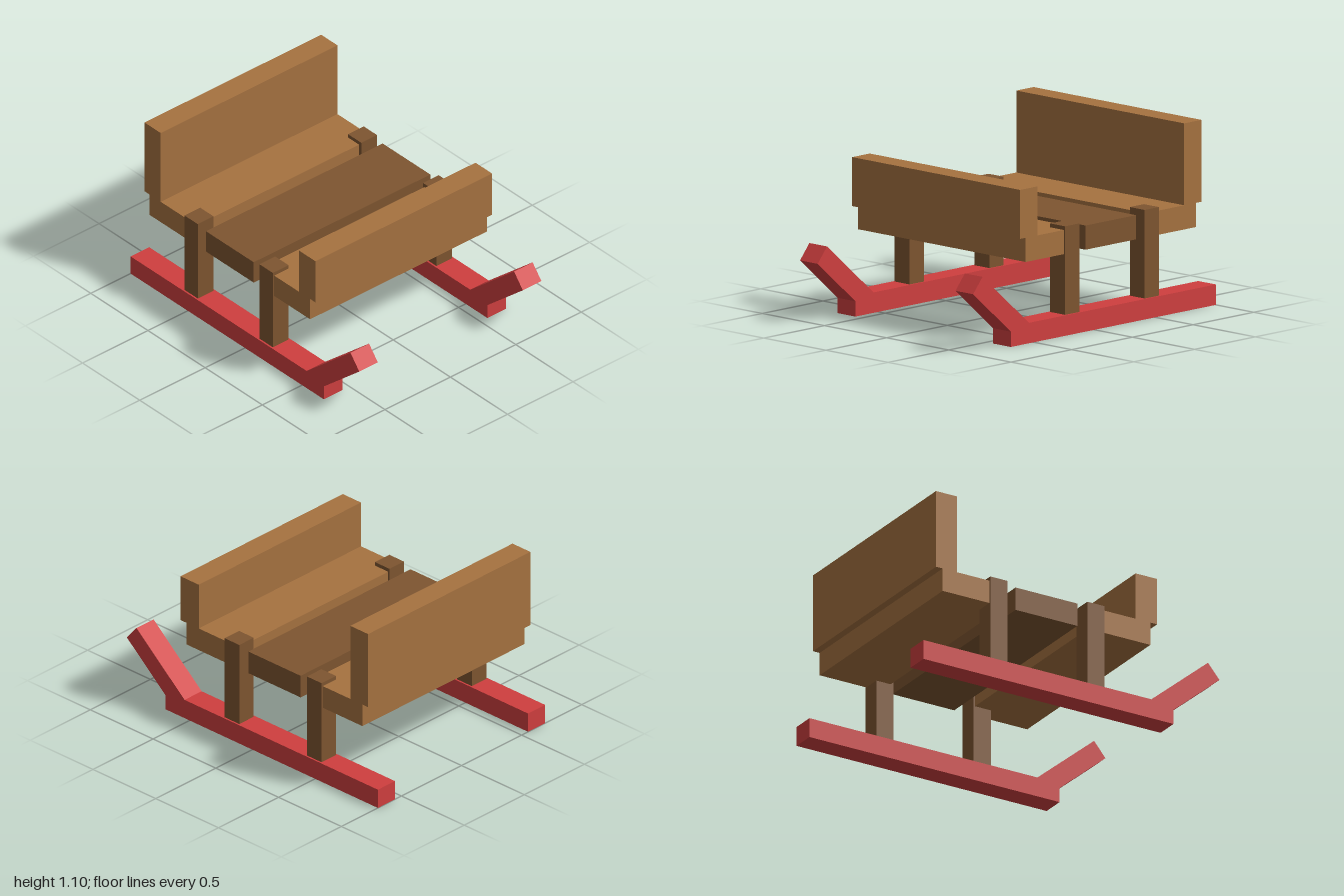
import * as THREE from 'three';

const paint = (color) => new THREE.MeshStandardMaterial({ color, flatShading: true });

// Extrude a side profile of [z, y] points across x, centred on x = 0
function sideProfile(points, width) {
  const shape = new THREE.Shape(points.map(([z, y]) => new THREE.Vector2(z, y)));
  const geometry = new THREE.ExtrudeGeometry(shape, { depth: width, bevelEnabled: false });
  return geometry.translate(0, 0, -width / 2).rotateY(-Math.PI / 2);
}

export function createModel() {
  const model = new THREE.Group();
  model.name = 'sled';
  const red = paint(0xcf3f3f);
  const lightWood = paint(0xa67240);
  const darkWood = paint(0x7e5530);

  const add = (name, geometry, material, x = 0, y = 0, z = 0) => {
    const mesh = new THREE.Mesh(geometry, material);
    mesh.name = name;
    mesh.position.set(x, y, z);
    model.add(mesh);
  };

  // Runners with upturned front tips, and the posts standing on them
  const runner = sideProfile([
    [-1, 0], [0.69, 0], [0.69, 0.09], [1, 0.355], [0.923, 0.446], [0.54, 0.12], [-1, 0.12],
  ], 0.142);
  const post = new THREE.BoxGeometry(0.12, 0.52, 0.117);
  for (const [side, sign] of [['left', 1], ['right', -1]]) {
    add(`${side}Runner`, runner, red, sign * 0.625);
    add(`${side}FrontPost`, post, darkWood, sign * 0.625, 0.38, 0.173);
    add(`${side}RearPost`, post, darkWood, sign * 0.625, 0.38, -0.483);
  }

  // Benches: a seat plank with an overhanging back
  const low = 0.475, top = 0.617, width = 1.35;
  add('frontBench', sideProfile([
    [0.125, low], [0.546, low], [0.546, top], [0.592, top], [0.592, 0.905], [0.447, 0.905], [0.447, top], [0.125, top],
  ], width), lightWood);
  add('rearBench', sideProfile([
    [-0.445, low], [-0.445, top], [-0.76, top], [-0.76, 1.098], [-0.902, 1.098], [-0.902, top], [-0.857, top], [-0.857, low],
  ], width), lightWood);

  // Middle plank between the benches
  add('middlePlank', new THREE.BoxGeometry(width, top - low, 0.417), darkWood, 0, (top + low) / 2, -0.156);

  return model;
}
